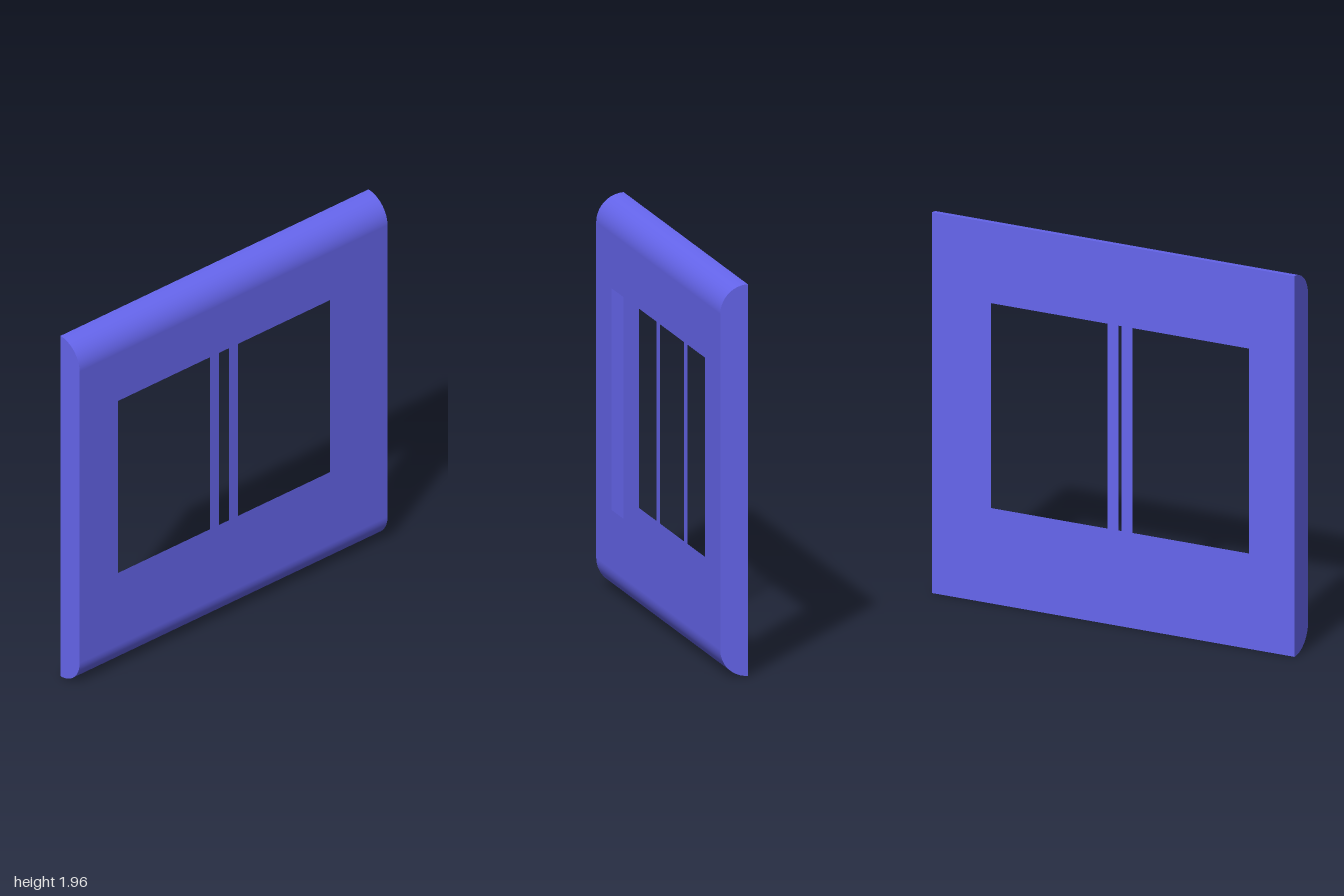
import * as THREE from 'three';

const H = 1.955, D = 0.07, R = 0.14; // height, half depth, edge radius

export function createModel() {
  const group = new THREE.Group();
  const material = new THREE.MeshStandardMaterial({ color: 0x6666ee, side: THREE.DoubleSide });

  const add = (name, geometry, x = 0, y = 0, z = 0) => {
    const mesh = new THREE.Mesh(geometry, material);
    mesh.name = name;
    mesh.position.set(x, y, z);
    group.add(mesh);
  };

  const rect = (Type, x0, y0, x1, y1) => {
    const path = new Type();
    path.moveTo(x0, y0).lineTo(x1, y0).lineTo(x1, y1).lineTo(x0, y1).closePath();
    return path;
  };

  // Flat sheet with two window openings and a narrow strip between them
  const sheet = (y0, y1) => {
    const shape = rect(THREE.Shape, -1, y0, 1, y1);
    shape.holes.push(rect(THREE.Path, -0.75, 0.435, -0.03, 1.542));
    shape.holes.push(rect(THREE.Path, 0.03, 0.435, 0.75, 1.542));
    return new THREE.ShapeGeometry(shape);
  };

  // Hollow plate: the openings have no walls between the two sheets
  add('frontSheet', sheet(R, H - R), 0, 0, D);
  add('backSheet', sheet(0, H).rotateY(Math.PI), 0, 0, -D);

  // Quarter-round top and bottom edges
  const roundEdge = (start) =>
    new THREE.CylinderGeometry(R, R, 2, 24, 1, true, start, Math.PI / 2).rotateZ(Math.PI / 2);
  add('topEdge', roundEdge(0), 0, H - R, -D);
  add('bottomEdge', roundEdge(Math.PI * 1.5), 0, R, -D);

  // End caps following the rounded profile
  for (const s of [1, -1]) {
    const points = [];
    for (let i = 0; i <= 48; i++) {
      const a = -Math.PI / 2 + (Math.min(i, 24) + Math.max(i - 24, 0)) * Math.PI / 48;
      const centre = i < 24 ? R : H - R;
      if (i === 24) points.push(new THREE.Vector2(-s * D, R));
      points.push(new THREE.Vector2(-s * (-D + R * Math.cos(a)), centre + R * Math.sin(a)));
    }
    const cap = new THREE.ShapeGeometry(new THREE.Shape(points)).rotateY(s * Math.PI / 2);
    add(s > 0 ? 'leftEnd' : 'rightEnd', cap, s);
  }

  return group;
}
